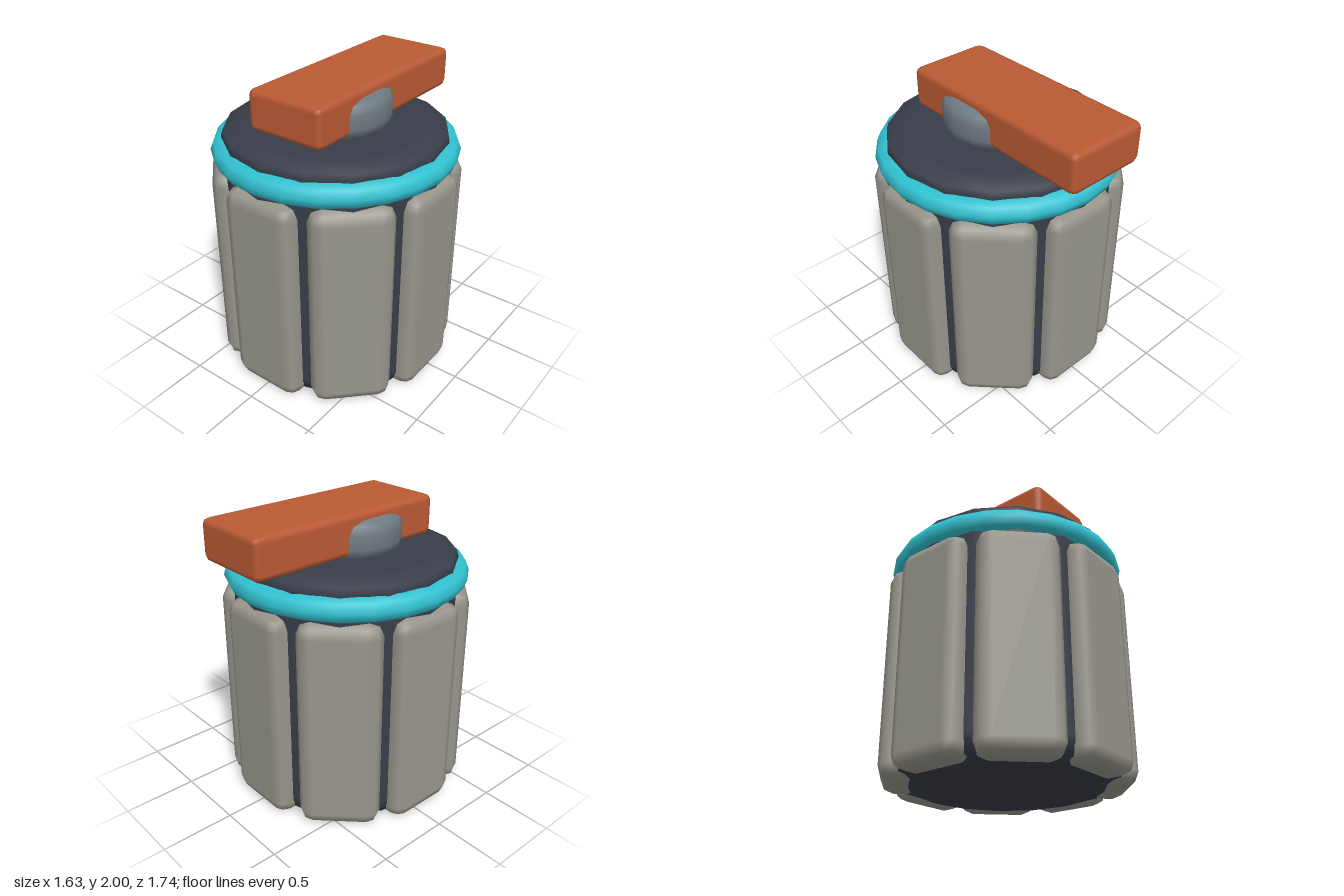
import * as THREE from 'three';
import { RoundedBoxGeometry } from 'three/addons/geometries/RoundedBoxGeometry.js';

const material = (name, color) => {
  const m = new THREE.MeshStandardMaterial({ color });
  m.name = name;
  return m;
};

export function createModel() {
  const dark = material('dark slate', 0x383d48);
  const stone = material('warm grey', 0x98968c);
  const teal = material('teal', 0x32c3d3);
  const orange = material('burnt orange', 0xbb5a34);
  const steel = material('steel grey', 0x6f7a82);

  const model = new THREE.Group();
  model.name = 'canister';

  // Everything round shares one axis, slightly forward of the origin
  const drum = new THREE.Group();
  drum.name = 'drum';
  drum.position.z = 0.055;
  model.add(drum);

  const add = (parent, name, geometry, mat) => {
    const mesh = new THREE.Mesh(geometry, mat);
    mesh.name = name;
    parent.add(mesh);
    return mesh;
  };
  const turned = (points, sides) =>
    new THREE.LatheGeometry(points.map(([r, y]) => new THREE.Vector2(r, y)), sides);

  // Core with bevelled base
  add(drum, 'core', turned([
    [0, 0.004], [0.6, 0.004], [0.63, 0.004], [0.73, 0.035], [0.765, 0.11],
    [0.765, 0.14], [0.765, 1.46], [0.765, 1.5], [0.7, 1.54],
  ], 16), dark);

  // Bevelled lid
  add(drum, 'lid', turned([
    [0.7, 1.5], [0.74, 1.55], [0.742, 1.63], [0.73, 1.67],
    [0.63, 1.698], [0.6, 1.7], [0, 1.7],
  ], 16), dark);

  // Sealing ring
  const ring = add(drum, 'sealRing', new THREE.TorusGeometry(0.735, 0.08, 8, 24), teal);
  ring.rotation.x = -Math.PI / 2;
  ring.position.y = 1.54;

  // Eight padded panels around the core
  const panelGeometry = new RoundedBoxGeometry(0.53, 1.46, 0.265, 1, 0.09);
  panelGeometry.translate(0, 0.73, 0.6825);
  for (let i = 0; i < 8; i++) {
    const panel = add(drum, 'sidePanel', panelGeometry, stone);
    panel.rotation.y = (i * Math.PI) / 4;
  }

  // Pivot hub under the handle
  add(drum, 'pivotHub', turned([
    [0, 1.69], [0.31, 1.69], [0.355, 1.72], [0.37, 1.77], [0.37, 1.86],
    [0.352, 1.915], [0.3, 1.943], [0.27, 1.945], [0, 1.945],
  ], 16), steel);

  // Lever handle, overhanging the back
  const handle = add(model, 'leverHandle', new RoundedBoxGeometry(0.565, 0.275, 1.44, 1, 0.045), orange);
  handle.position.set(0, 1.8625, -0.15);

  return model;
}
